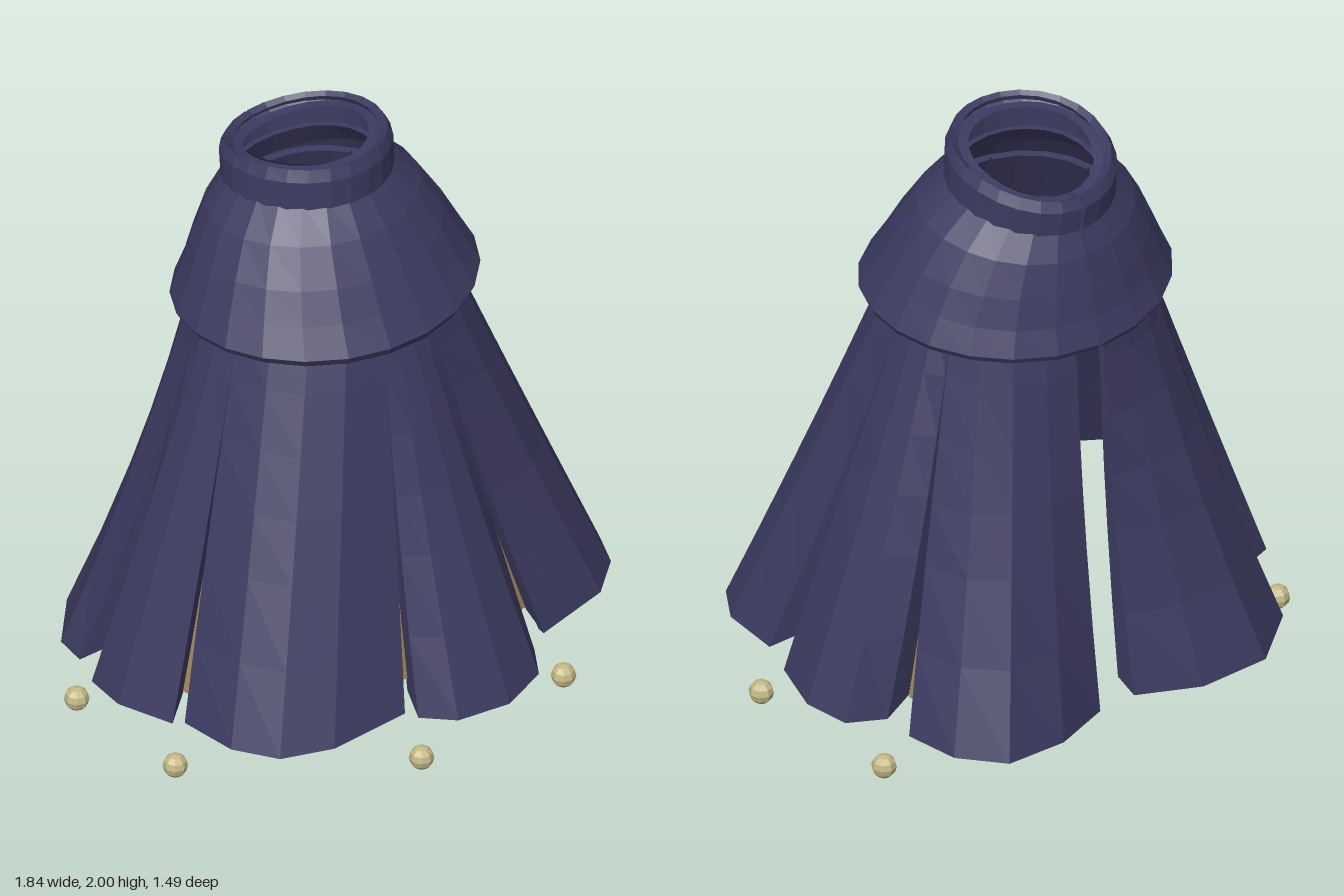
import * as THREE from 'three';

const makeMaterial = (name, color) => {
  const material = new THREE.MeshStandardMaterial({ color });
  material.name = name;
  return material;
};
const cloth = makeMaterial('navyCloth', 0x3d3b61);
const lining = makeMaterial('goldLining', 0x9c8151);
const beadGold = makeMaterial('paleGold', 0xc4b885);

const mix = THREE.MathUtils.lerp;

// Closed faceted sheet: rows run downward, columns run from front towards +x.
// The first material covers the outside, the second the inside and the rims.
function shell(name, grid, thick, outside = cloth, inside = cloth) {
  const R = grid.length - 1, C = grid[0].length - 1, pos = [];
  const inner = grid.map(row => row.map((p, c) => {
    const a = row[Math.max(c - 1, 0)], b = row[Math.min(c + 1, C)];
    const dx = b.x - a.x, dz = b.z - a.z, l = Math.hypot(dx, dz) || 1;
    return new THREE.Vector3(p.x + dz / l * thick, p.y, p.z - dx / l * thick);
  }));
  const quad = (a, b, c, d) => [a, b, c, a, c, d].forEach(p => pos.push(p.x, p.y, p.z));
  const o = grid, i = inner;
  for (let r = 0; r < R; r++) {
    for (let c = 0; c < C; c++) quad(o[r][c], o[r + 1][c], o[r + 1][c + 1], o[r][c + 1]);
  }
  const outerCount = pos.length / 3;
  for (let r = 0; r < R; r++) {
    for (let c = 0; c < C; c++) quad(i[r][c], i[r][c + 1], i[r + 1][c + 1], i[r + 1][c]);
    quad(o[r + 1][0], o[r][0], i[r][0], i[r + 1][0]);
    quad(o[r][C], o[r + 1][C], i[r + 1][C], i[r][C]);
  }
  for (let c = 0; c < C; c++) {
    quad(o[R][c + 1], o[R][c], i[R][c], i[R][c + 1]);
    quad(o[0][c], o[0][c + 1], i[0][c + 1], i[0][c]);
  }
  const geo = new THREE.BufferGeometry();
  geo.setAttribute('position', new THREE.Float32BufferAttribute(pos, 3));
  geo.computeVertexNormals();
  geo.addGroup(0, outerCount, 0);
  geo.addGroup(outerCount, pos.length / 3 - outerCount, 1);
  const mesh = new THREE.Mesh(geo, [outside, inside]);
  mesh.name = name;
  return mesh;
}

// Tilted oval rings, open at the back; ring = [yFront, yBack, halfWidth, zFront, zBack]
function ovalGrid(rings, cols, gap) {
  return rings.map(([yf, yb, rx, zf, zb]) => Array.from({ length: cols + 1 }, (_, c) => {
    const a = mix(-Math.PI + gap, Math.PI - gap, c / cols), k = (1 + Math.cos(a)) / 2;
    return new THREE.Vector3(rx * Math.sin(a), mix(yb, yf, k) + 0.02 * Math.sin(a) ** 2, mix(zb, zf, k));
  }));
}

// Point on the flared skirt at depth t, from waist angle a to hem point [hx, hz]
function flarePoint(a, scale, hx, hz, yHem, t) {
  const wx = 0.41 * scale * Math.sin(a), wz = 0.385 * scale * Math.cos(a);
  if (t < 0) return new THREE.Vector3(wx * 0.75, 1.72, -0.13 + wz * 0.75);
  const k = (Math.cos(a) < 0 ? 0.6 : 0.15) * Math.cos(a) ** 2;
  const w = t - k * t * (1 - t);
  return new THREE.Vector3(mix(wx, hx, w), mix(1.5, yHem, t), mix(wz - 0.11, hz, w));
}

const ROWS = [-1, 0, 0.15, 0.3, 0.45, 0.6, 0.8, 1];

// Panel whose end columns fold inward and stay closed along the upper part of the slits
function panelGrid(hem, a0, a1, y0, y1, slit0, slit1) {
  const n = hem.length - 1;
  return ROWS.map(t => hem.map(([hx, hz], c) => {
    const a = mix(a0, a1, THREE.MathUtils.clamp((c - 1) / (n - 2), 0, 1));
    const fold = c === 0 || c === n;
    const slit = c < 2 ? slit0 : c > n - 2 ? slit1 : null;
    const edge = hem[c < 2 ? 1 : n - 1];
    const close = slit ? 1 - t : 0;
    const x = slit ? hx + (slit[0] - edge[0]) * close : hx;
    const z = slit ? hz + (slit[1] - edge[1]) * close : hz;
    return flarePoint(a, fold ? 0.95 : 1, x, z, mix(y0, y1, c / n) + (fold ? 0.04 : 0), t);
  }));
}

// Narrow strip closing the slit between two folded edges
const gussetGrid = (from, to, a, y) => ROWS.slice(1).map(t =>
  [flarePoint(a - 0.04, 0.9, ...from, y, t), flarePoint(a + 0.04, 0.9, ...to, y, t)]);

const mirrorGrid = grid => grid.map(row =>
  row.map(p => new THREE.Vector3(-p.x, p.y, p.z)).reverse());

const midpoint = (a, b) => [(a[0] + b[0]) / 2, (a[1] + b[1]) / 2];

export function createModel() {
  const model = new THREE.Group();
  model.name = 'cloak';

  // Standing collar
  model.add(shell('collar', ovalGrid([
    [1.975, 1.885, 0.23, 0.055, -0.415],
    [2.0, 1.905, 0.25, 0.09, -0.45],
    [1.96, 1.87, 0.27, 0.105, -0.465],
    [1.85, 1.78, 0.275, 0.105, -0.452],
  ], 24, 0.02), 0.032));

  // Shoulder cape
  model.add(shell('shoulderCape', ovalGrid([
    [1.87, 1.80, 0.262, 0.095, -0.445],
    [1.77, 1.70, 0.36, 0.18, -0.485],
    [1.65, 1.59, 0.43, 0.255, -0.51],
    [1.55, 1.49, 0.478, 0.31, -0.53],
    [1.455, 1.405, 0.522, 0.37, -0.56],
    [1.425, 1.385, 0.507, 0.355, -0.55],
  ], 22, 0.018), 0.04));

  // Skirt: hem outlines for each half, from the front slit to the back opening
  const frontAngle = 0.24, backAngle = Math.PI - 0.13;
  const frontHem = [[-0.22, 0.5], [-0.26, 0.59], [-0.18, 0.69], [0, 0.74], [0.18, 0.69], [0.26, 0.59], [0.22, 0.5]];
  const names = ['frontSide', 'side', 'back'];
  const hemHeights = [[0.23, 0.21], [0.19, 0.15], [0.13, 0.075]];
  const halves = [
    { label: 'Left', place: grid => grid, angles: [frontAngle, 1.52, 2.0, backAngle], hems: [
      [[0.32, 0.49], [0.31, 0.58], [0.6, 0.545], [0.745, 0.445], [0.817, 0.32], [0.817, 0.11], [0.72, 0.07]],
      [[0.73, -0.02], [0.83, 0.015], [0.88, -0.18], [0.84, -0.33], [0.71, -0.38], [0.6, -0.345]],
      [[0.58, -0.42], [0.68, -0.455], [0.63, -0.63], [0.5, -0.75], [0.28, -0.74], [0.07, -0.65], [0.065, -0.57]],
    ] },
    { label: 'Right', place: mirrorGrid, angles: [frontAngle, 1.46, 1.93, backAngle], hems: [
      [[0.32, 0.49], [0.31, 0.58], [0.6, 0.555], [0.76, 0.47], [0.83, 0.32], [0.83, 0.11], [0.73, 0.09]],
      [[0.74, 0.01], [0.83, 0.055], [0.87, -0.15], [0.835, -0.305], [0.71, -0.345], [0.6, -0.305]],
      [[0.61, -0.39], [0.735, -0.46], [0.7, -0.58], [0.515, -0.74], [0.27, -0.74], [0.07, -0.64], [0.065, -0.56]],
    ] },
  ];
  const frontSlit = midpoint([0.26, 0.59], [0.31, 0.58]);
  model.add(shell('frontPanel', panelGrid(frontHem, -frontAngle, frontAngle, 0.19, 0.19,
    [-frontSlit[0], frontSlit[1]], frontSlit), 0.03));

  for (const { label, place, angles, hems } of halves) {
    const chain = [frontHem, ...hems];
    const slits = hems.map((hem, i) => midpoint(chain[i].at(-2), hem[1]));
    hems.forEach((hem, i) => {
      const panel = panelGrid(hem, angles[i], angles[i + 1], ...hemHeights[i], slits[i], slits[i + 1]);
      model.add(shell(names[i] + 'Panel' + label, place(panel), 0.03));
      // Gold-faced gusset behind the slit before this panel
      const gusset = gussetGrid(chain[i].at(-1), hem[0], angles[i], hemHeights[i][0] + 0.05);
      model.add(shell(names[i] + 'Gusset' + label, place(gusset), 0.015, lining, cloth));
    });
  }

  // Beads hanging around the hem
  const beadGeo = new THREE.SphereGeometry(0.041, 8, 6).toNonIndexed();
  beadGeo.computeVertexNormals();
  const beads = [
    [0.315, 0.105, 0.665], [-0.32, 0.105, 0.665], [0.875, 0.085, 0.075],
    [-0.887, 0.085, 0.125], [0.775, 0.043, -0.45], [-0.813, 0.043, -0.395],
  ];
  for (const p of beads) {
    const bead = new THREE.Mesh(beadGeo, beadGold);
    bead.name = 'bead';
    bead.position.set(...p);
    model.add(bead);
  }
  return model;
}
